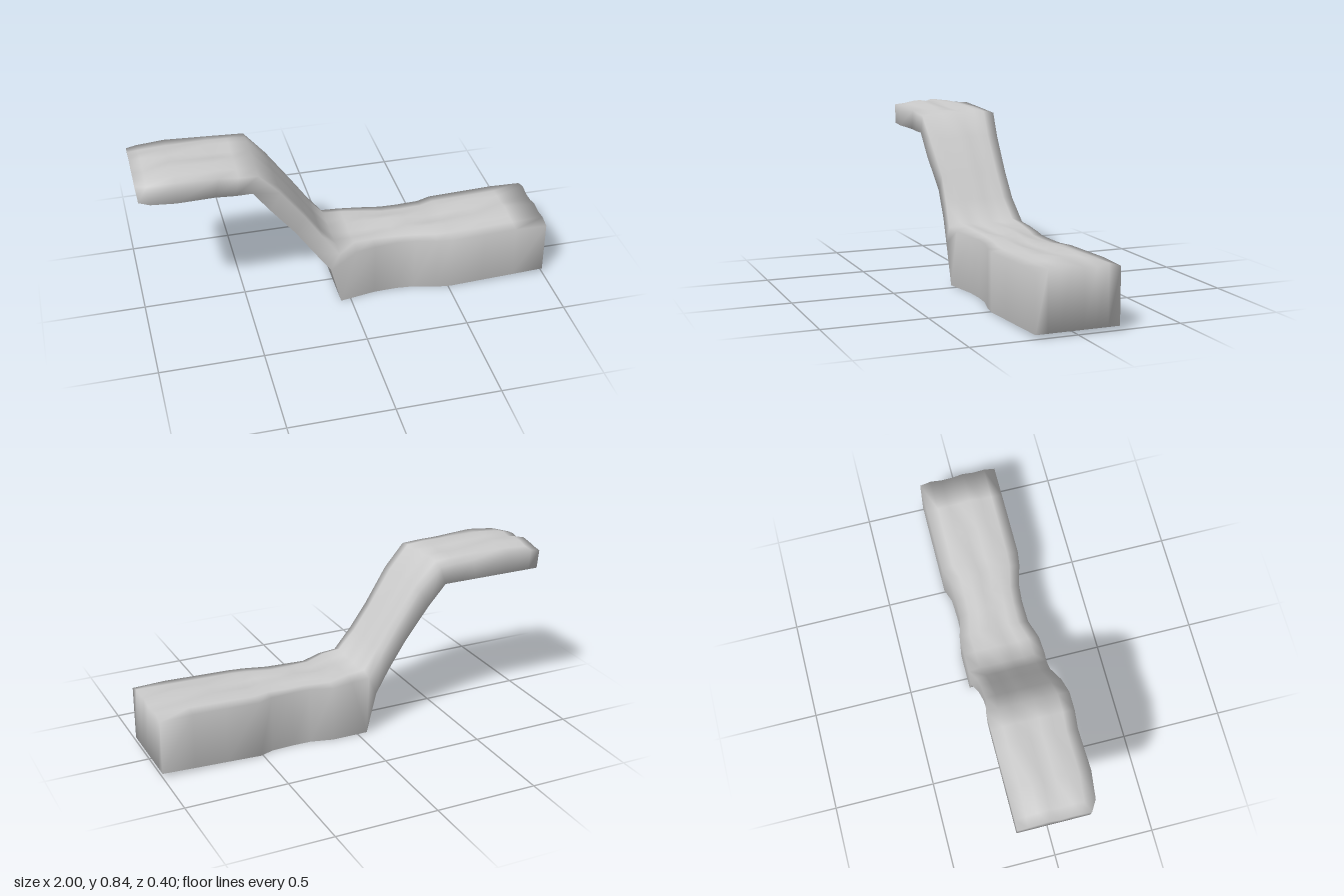
import * as THREE from 'three';

// Stations along the ledge: top x, top y, bottom x, bottom y, back z, front z
const stations = [
  [-1.0, 0.8, -0.99, 0.71, -0.2, 0.14],
  [-0.95, 0.81, -0.94, 0.71, -0.2, 0.17],
  [-0.82, 0.82, -0.82, 0.71, -0.2, 0.185],
  [-0.62, 0.81, -0.64, 0.71, -0.2, 0.18],
  [-0.53, 0.805, -0.55, 0.71, -0.2, 0.19],
  [-0.44, 0.8, -0.47, 0.71, -0.2, 0.19],
  [-0.34, 0.69, -0.39, 0.6, -0.18, 0.185],
  [-0.22, 0.52, -0.27, 0.44, -0.175, 0.167],
  [-0.14, 0.4, -0.18, 0.31, -0.18, 0.175],
  [-0.06, 0.29, -0.1, 0.2, -0.2, 0.19],
  [0.03, 0.285, -0.05, 0.0, -0.2, 0.185],
  [0.13, 0.275, 0.13, 0.0, -0.2, 0.155],
  [0.24, 0.28, 0.24, 0.0, -0.172, 0.152],
  [0.33, 0.28, 0.33, 0.0, -0.17, 0.16],
  [0.44, 0.28, 0.44, 0.0, -0.175, 0.19],
  [0.51, 0.28, 0.51, 0.0, -0.2, 0.2],
  [0.68, 0.285, 0.68, 0.007, -0.2, 0.2],
  [0.84, 0.29, 0.84, 0.013, -0.2, 0.2],
  [1.0, 0.285, 1.0, 0.02, -0.2, 0.2],
];
const across = 8;               // points across the top and the bottom
const ring = across * 2;

// Gentle uneven ground, fading to nothing at the long edges
function bump(x, t) {
  const wave = 0.5 + 0.3 * Math.sin(t * 17 + x * 5) + 0.2 * Math.sin(t * 9 - x * 11);
  return 0.026 * wave * Math.min(1, 6 * t, 6 * (1 - t));
}

function ledgeGeometry() {
  const pos = [], index = [];
  for (const [tx, ty, bx, by, back, front] of stations) {
    const steep = tx > -0.4 && tx < -0.1;
    for (let j = 0; j < across; j++) {
      const t = j / (across - 1);
      pos.push(tx, ty + bump(tx, t) * (steep ? 0.4 : 1), back + (front - back) * t);
    }
    for (let j = across - 1; j >= 0; j--) {
      const t = j / (across - 1);
      pos.push(bx, by, back + (front - back) * t);
    }
  }
  // Skin between neighbouring stations
  for (let i = 0; i < stations.length - 1; i++) {
    for (let j = 0; j < ring; j++) {
      const a = i * ring + j, b = i * ring + (j + 1) % ring;
      index.push(a, b, a + ring, b, b + ring, a + ring);
    }
  }
  // End faces
  const last = (stations.length - 1) * ring;
  for (let j = 0; j < across - 1; j++) {
    const a = j, b = j + 1, c = ring - 2 - j, d = ring - 1 - j;
    index.push(a, c, b, a, d, c);
    index.push(last + a, last + b, last + c, last + a, last + c, last + d);
  }
  const g = new THREE.BufferGeometry();
  g.setAttribute('position', new THREE.Float32BufferAttribute(pos, 3));
  g.setIndex(index);
  g.computeVertexNormals();
  return g;
}

export function createModel() {
  const group = new THREE.Group();
  group.name = 'groundRamp';
  const ledge = new THREE.Mesh(ledgeGeometry(), new THREE.MeshStandardMaterial({ color: 0xcccccc }));
  ledge.name = 'steppedLedge';
  group.add(ledge);
  return group;
}
